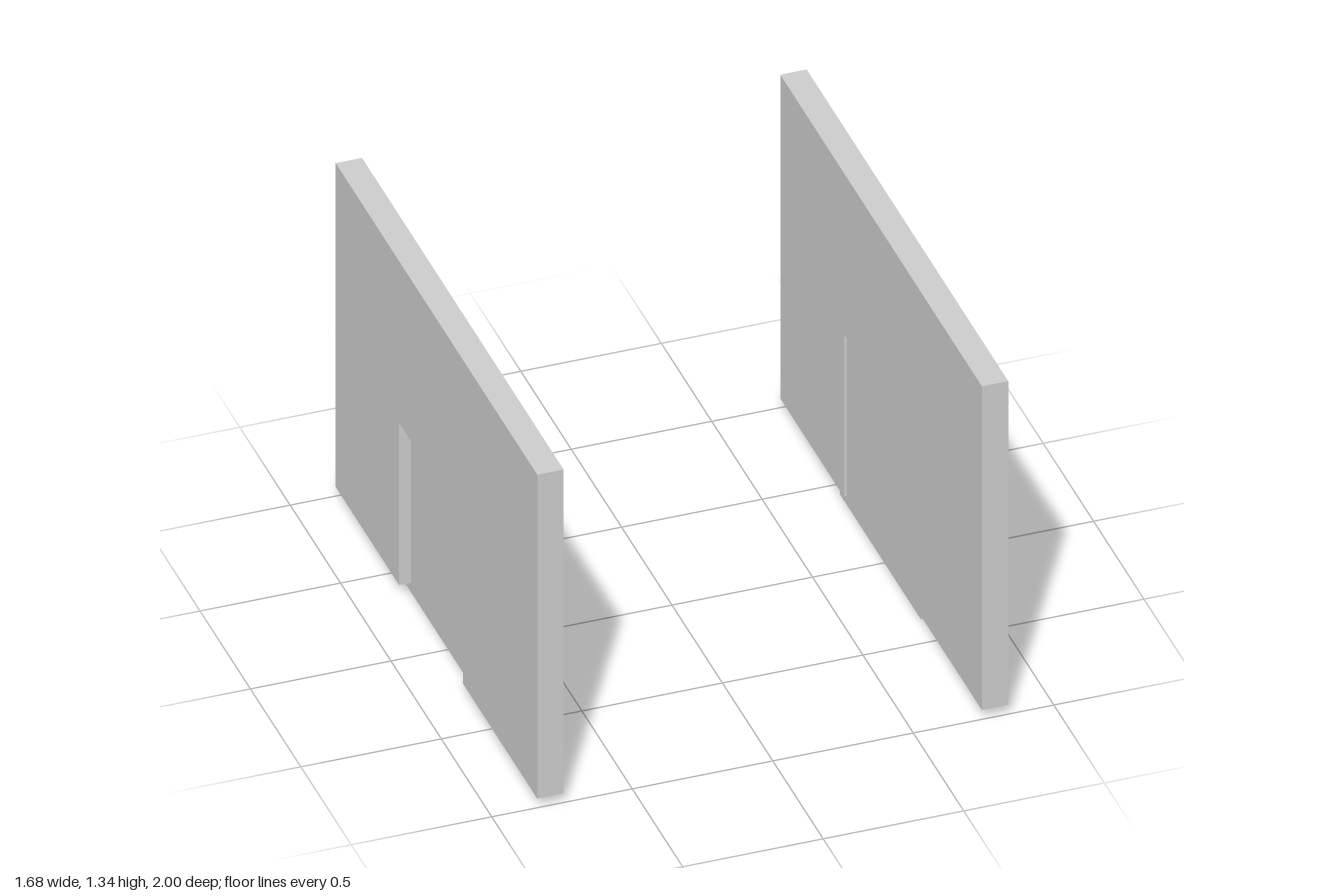
import * as THREE from 'three';

const BOTTOM = 0.037, TOP = 1.34, THICK = 0.094;

// Upright wall with a doorway notch, hollow and open along its underside
function wallGeometry() {
  const outline = new THREE.Shape([
    [-1, BOTTOM], [-0.262, BOTTOM], [-0.262, 0.69], [0.37, 0.69],
    [0.37, BOTTOM], [1, BOTTOM], [1, TOP], [-1, TOP],
  ].map(([x, y]) => new THREE.Vector2(x, y)));
  const solid = new THREE.ExtrudeGeometry(outline, { depth: THICK, bevelEnabled: false });
  const pos = solid.attributes.position;
  const kept = [];
  for (let i = 0; i < pos.count; i += 3) {
    const highest = Math.max(pos.getY(i), pos.getY(i + 1), pos.getY(i + 2));
    if (highest < BOTTOM + 0.001) continue; // leave the underside open
    for (let j = i; j < i + 3; j++) kept.push(pos.getX(j), pos.getY(j), pos.getZ(j));
  }
  const geometry = new THREE.BufferGeometry();
  geometry.setAttribute('position', new THREE.Float32BufferAttribute(kept, 3));
  geometry.translate(0, 0, -THICK / 2);
  geometry.rotateY(Math.PI / 2); // run the wall along z
  geometry.computeVertexNormals();
  return geometry;
}

export function createModel() {
  const model = new THREE.Group();
  model.name = 'doorwayWalls';
  const material = new THREE.MeshStandardMaterial({
    color: 0xcccccc, flatShading: true, side: THREE.DoubleSide,
  });

  const wallGeo = wallGeometry();
  // Door slab, larger than the opening so its edges slide inside the wall
  const doorGeo = new THREE.BoxGeometry(0.041, 0.77, 0.805);

  for (const [side, label] of [[1, 'left'], [-1, 'right']]) {
    const wall = new THREE.Mesh(wallGeo, material);
    wall.name = label + 'Wall';
    wall.position.x = side * 0.791;

    // Set close to the inner face, leaving a deeper recess outside
    const door = new THREE.Mesh(doorGeo, material);
    door.name = label + 'Door';
    door.position.set(side * 0.776, 0.385, -0.0375);

    model.add(wall, door);
  }
  return model;
}
